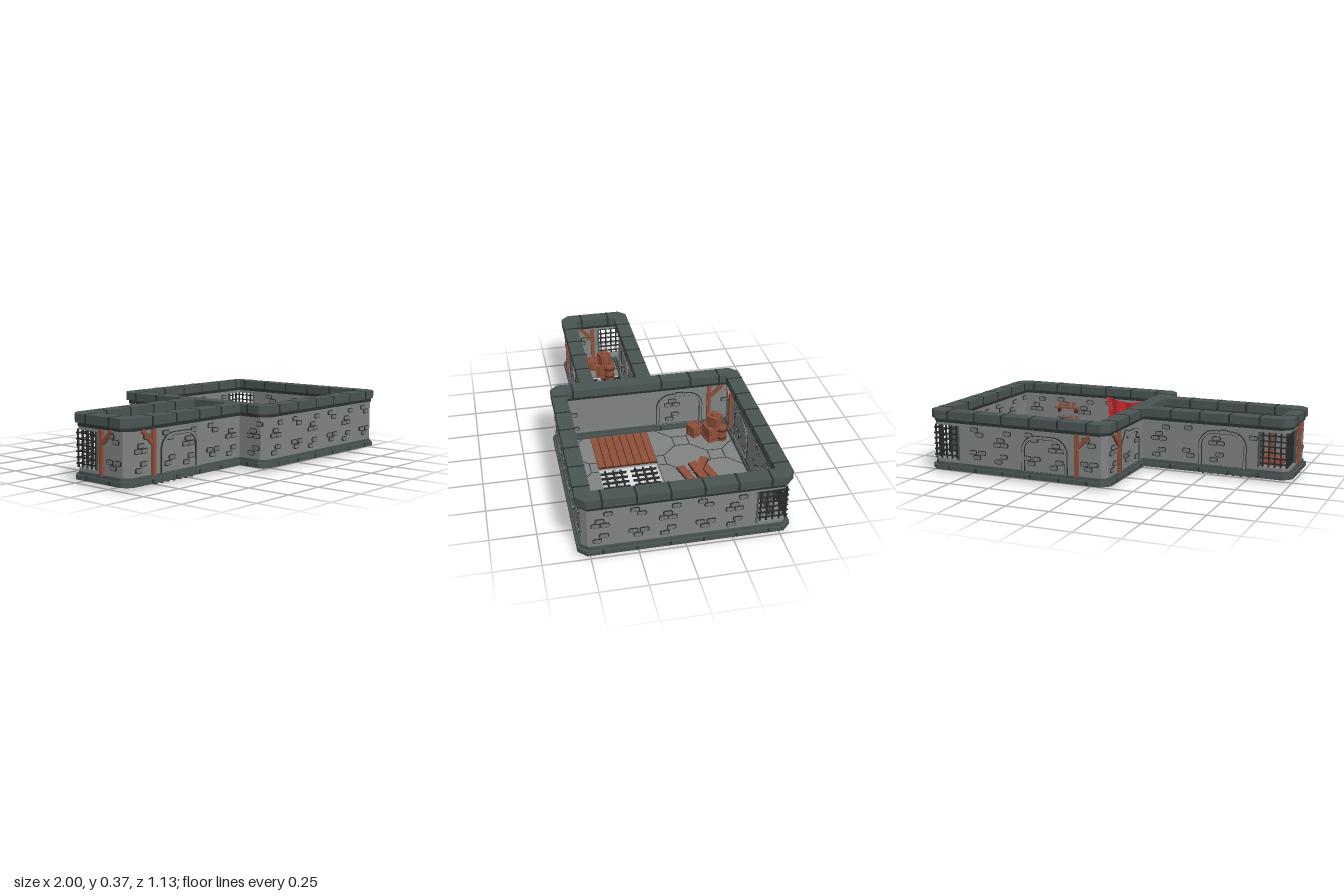
import * as THREE from 'three';
import { mergeGeometries } from 'three/addons/utils/BufferGeometryUtils.js';

const mat = (name, color, side = THREE.FrontSide) => {
  const m = new THREE.MeshStandardMaterial({ color, side });
  m.name = name;
  return m;
};

export function createModel() {
  const root = new THREE.Group();
  root.name = 'dungeonRooms';
  const M = {
    wall: mat('wallGrey', 0x818482), brick: mat('brickGrey', 0x757977), trim: mat('trimSlate', 0x4a5553),
    dark: mat('jointDark', 0x2b3231), iron: mat('iron', 0x2a2c2d), floor: mat('floorGrey', 0x818482),
    wood: mat('wood', 0x8f503a), darkWood: mat('darkWood', 0x4e2a1d), red: mat('clothRed', 0xc8262b, THREE.DoubleSide),
  };

  // Collect pieces by part name and colour, merged at the end
  const parts = new Map();
  const add = (name, color, geo, matrix) => {
    const g = geo.index ? geo.toNonIndexed() : geo;
    if (matrix) g.applyMatrix4(matrix);
    const key = name + '|' + color;
    if (!parts.has(key)) parts.set(key, []);
    parts.get(key).push(g);
  };
  const place = (x, y, z, ry = 0, rz = 0) => new THREE.Matrix4().makeRotationFromEuler(new THREE.Euler(0, ry, rz, 'YXZ')).setPosition(x, y, z);
  const box = (name, color, w, h, d, x, y, z, base, ry = 0, rz = 0) => {
    const m = place(x, y, z, ry, rz);
    add(name, color, new THREE.BoxGeometry(w, h, d), base ? base.clone().multiply(m) : m);
  };
  const slab = (name, color, pts, holes, y0, y1) => {
    const v = (a) => a.map(([x, z]) => new THREE.Vector2(x, -z));
    const s = new THREE.Shape(v(pts).reverse());
    for (const h of holes) s.holes.push(new THREE.Path(v(h)));
    const g = new THREE.ExtrudeGeometry(s, { depth: y1 - y0, bevelEnabled: false });
    add(name, color, g.rotateX(-Math.PI / 2).translate(0, y0, 0));
  };
  const rect = ([x0, x1, z0, z1], i = 0, c = 0) => {
    const [a, b, e, f] = [x0 + i, x1 - i, z0 + i, z1 - i];
    return c ? [[a + c, e], [b - c, e], [b, e + c], [b, f - c], [b - c, f], [a + c, f], [a, f - c], [a, e + c]]
      : [[a, e], [b, e], [b, f], [a, f]];
  };
  const frame = (name, color, r, inset, width, c, y0, y1) =>
    slab(name, color, rect(r, inset, c), [rect(r, width)], y0, y1);

  // Room shells: [x0, x1, z0, z1], with the window corner on the back
  const T = 0.05, CUT = 0.17;
  const rooms = [
    { r: [-0.13, 1, -0.563, 0.563], side: 1 },
    { r: [-1, -0.045, -0.04, 0.385], side: -1 },
  ];
  for (const { r, side } of rooms) {
    const c = 0.045;
    frame('baseTrim', 'trim', r, 0, 0.085, c, 0.02, 0.045);
    frame('baseTrim', 'trim', r, 0.012, 0.076, c, 0.045, 0.064);
    frame('capUnderside', 'dark', r, 0.01, 0.077, c, 0.298, 0.318);
    frame('capTrim', 'trim', r, 0, 0.085, c, 0.318, 0.365);
    frame('wall', 'wall', r, 0.02, 0.02 + T, 0.03, 0.06, 0.08);
    frame('wall', 'wall', r, 0.02, 0.02 + T, 0.03, 0.28, 0.3);
    // Middle of the wall, open around the window corner
    const a = side > 0 ? r[0] + 0.02 : r[1] - 0.02, b = side > 0 ? r[1] - 0.02 : r[0] + 0.02;
    const z0 = r[2] + 0.02, z1 = r[3] - 0.02, k = 0.03 * side, t = T * side, L = CUT * side;
    slab('wall', 'wall', [[b - L, z0], [a + k, z0], [a, z0 + 0.03], [a, z1 - 0.03], [a + k, z1], [b - k, z1], [b, z1 - 0.03],
      [b, z0 + CUT], [b - t, z0 + CUT], [b - t, z1 - T], [a + t, z1 - T], [a + t, z0 + T], [b - L, z0 + T]], [], 0.08, 0.28);
    // Iron lattice and jambs around the corner
    for (let i = 0; i < 5; i++) {
      const o = 0.012 + i * 0.034;
      box('windowBars', 'iron', 0.008, 0.2, 0.008, b - o * side, 0.18, z0 + 0.012);
      box('windowBars', 'iron', 0.008, 0.2, 0.008, b - 0.012 * side, 0.18, z0 + o);
    }
    for (let i = 0; i < 6; i++) {
      const y = 0.1 + i * 0.032;
      box('windowBars', 'iron', CUT, 0.007, 0.007, b - L / 2, y, z0 + 0.012);
      box('windowBars', 'iron', 0.007, 0.007, CUT, b - 0.012 * side, y, z0 + CUT / 2);
    }
    box('windowJamb', 'trim', 0.01, 0.2, T + 0.008, b - L, 0.18, z0 + T / 2);
    box('windowJamb', 'trim', T + 0.008, 0.2, 0.01, b - t / 2, 0.18, z0 + CUT);
    // Joints between trim blocks
    const joint = (w, d, x, z) => {
      box('trimJoints', 'dark', w, 0.048, d, x, 0.342, z);
      box('trimJoints', 'dark', w * 0.99, 0.024, d * 0.99, x, 0.033, z);
    };
    for (let x = side > 0 ? -0.005 : -0.815; x < r[1] - 0.06; x += 0.1745) {
      if (side < 0 && x > -0.15) break;
      for (const z of [r[2] + 0.0425, r[3] - 0.0425]) joint(0.011, 0.087, x, z);
    }
    for (let z = side > 0 ? -0.437 : 0.085; z < r[3] - 0.06; z += 0.1745) {
      joint(0.087, 0.011, side > 0 ? r[1] - 0.0425 : r[0] + 0.0425, z);
      if (side > 0 && (z < -0.05 || z > 0.39)) joint(0.087, 0.011, r[0] + 0.0425, z);
    }
  }

  // Raised bricks repeating every 0.35 along a wall
  const bricks = [[0.024, 0.262], [-0.02, 0.22], [-0.042, 0.193], [0.005, 0.193], [0, 0.127], [-0.035, 0.096],
    [0.16, 0.268], [0.195, 0.241], [0.15, 0.136], [0.208, 0.136], [0.175, 0.108]];
  const brickPlate = (w, h, c, depth) => new THREE.ExtrudeGeometry(
    new THREE.Shape(rect([-w, w, -h, h], 0, c).map(([x, y]) => new THREE.Vector2(x, y))), { depth, bevelEnabled: false });
  const brickEdge = brickPlate(0.0245, 0.0135, 0.006, 0.005), brickFace = brickPlate(0.02, 0.0095, 0.004, 0.008);
  const archShape = (w, h, r) => {
    const s = new THREE.Shape();
    s.moveTo(-w, 0.062).lineTo(w, 0.062).lineTo(w, h - r);
    s.absarc(w - r, h - r, r, 0, Math.PI / 2).lineTo(r - w, h);
    s.absarc(r - w, h - r, r, Math.PI / 2, Math.PI).lineTo(-w, 0.062);
    return s;
  };
  const face = (base, u0, u1, { beam, brace = 1, arch, gap = [9, 9] }) => {
    for (let s = u0 + 0.115; s < u1 + 0.05; s += 0.349) for (const [du, y] of bricks) {
      const u = s + du;
      if (u < u0 + 0.03 || u > u1 - 0.03 || (u > gap[0] - 0.03 && u < gap[1] + 0.03)) continue;
      if (arch !== undefined && Math.abs(Math.abs(u - arch) - 0.14) < 0.032) continue;
      if (beam !== undefined && Math.abs(u - beam) < 0.036) continue;
      const m = base.clone().multiply(place(u, y, 0));
      add('brickEdges', 'dark', brickEdge.clone(), m);
      add('bricks', 'brick', brickFace.clone(), m);
    }
    if (arch !== undefined) {
      for (const [w, t, d, col] of [[0.142, 0.02, 0.006, 'dark'], [0.138, 0.012, 0.01, 'wall']]) {
        const s = archShape(w, w + 0.126, 0.09);
        s.holes.push(archShape(w - t, w + 0.126 - t, 0.09 - t));
        const g = new THREE.ExtrudeGeometry(s, { depth: d, bevelEnabled: false, curveSegments: 8 });
        add('blockedArch', col, g, base.clone().multiply(place(arch, 0, 0)));
      }
    }
    if (beam !== undefined) {
      box('timberPost', 'wood', 0.022, 0.24, 0.026, beam, 0.18, 0.004, base);
      box('timberBrace', 'wood', 0.1, 0.02, 0.022, beam + brace * 0.044, 0.262, 0.004, base, 0, brace * 0.8);
    }
  };
  // Dresses both the outer and the inner side of a wall
  const wall = (x, z, ry, u0, u1, o = {}) => {
    const m = place(x, 0, z, ry);
    face(m, u0, u1, o);
    const back = m.clone().multiply(place(0, 0, -T, Math.PI));
    const n = (v) => (v === undefined ? undefined : -v);
    face(back, -u1 + 0.03, -u0 - 0.03, { beam: n(o.beam), brace: -(o.brace || 1), arch: n(o.arch), gap: o.gap ? [-o.gap[1], -o.gap[0]] : [9, 9] });
  };
  const P = Math.PI;
  wall(0, 0.543, 0, -0.11, 0.98);
  wall(0.98, 0, P / 2, -0.543, 0.543, { gap: [0.373, 0.545] });
  wall(0, -0.543, P, -0.98, 0.11, { beam: -0.06, arch: -0.26, gap: [-0.98, -0.81] });
  wall(-0.11, 0, -P / 2, -0.543, -0.03, { beam: -0.38, brace: -1, arch: -0.2 });
  wall(-0.11, 0, -P / 2, 0.37, 0.54);
  wall(0, 0.365, 0, -0.98, -0.12, { beam: -0.8, brace: -1, arch: -0.6 });
  wall(0, -0.02, P, 0.12, 0.98, { arch: 0.6, gap: [0.81, 0.98] });
  wall(-0.98, 0, -P / 2, -0.02, 0.365, { beam: 0.19, gap: [-0.02, 0.15] });

  // Floors with openings and inlaid joint lines
  const floors = [
    { r: [-0.09, 0.96, -0.525, 0.525], hole: [-0.08, 0.607, 0, 0.345] },
    { r: [-0.96, -0.09, 0, 0.345], hole: [-0.77, -0.44, 0.02, 0.325] },
  ];
  for (const { r, hole } of floors) {
    slab('floor', 'floor', rect(r), [rect(hole)], 0.011, 0.024);
    const inside = (x, z, q, e) => x > q[0] - e && x < q[1] + e && z > q[2] - e && z < q[3] + e;
    // Lines are laid in short pieces so they stop at the openings
    const line = (x0, z0, x1, z1) => {
      const dx = (x1 - x0) / 4, dz = (z1 - z0) / 4;
      for (let i = 0; i < 4; i++) {
        const x = x0 + dx * (i + 0.5), z = z0 + dz * (i + 0.5);
        if (inside(x, z, r, -0.01) && !inside(x, z, hole, 0.012))
          box('floorJoints', 'dark', Math.hypot(dx, dz), 0.0015, 0.0045, x, 0.0243, z, null, Math.atan2(-dz, dx));
      }
    };
    for (let i = -6; i < 7; i++) for (let j = -4; j < 5; j++) {
      if ((i + j) % 2) continue;
      const x = 0.0825 + i * 0.1745, z = -0.003 + j * 0.1745, a = 0.13, b = 0.0445;
      const p = [[a, -b], [a, b], [b, a], [-b, a], [-a, b], [-a, -b], [-b, -a], [b, -a]];
      p.forEach(([px, pz], k) => {
        const [qx, qz] = p[(k + 1) % 8];
        if (k !== 3 && k !== 5) line(x + px, z + pz, x + qx, z + qz);
      });
    }
  }

  // Iron floor grates, two panels each
  for (const x0 of [-0.77, 0.28]) for (const z0 of [0.015, 0.19]) {
    for (let i = 0; i < 7; i++) box('floorGrate', 'iron', 0.011, 0.01, 0.15, x0 + 0.025 + i * 0.045, 0.006, z0 + 0.075);
    for (let i = 0; i < 3; i++) box('floorGrate', 'iron', 0.32, 0.01, 0.011, x0 + 0.16, 0.005, z0 + 0.03 + i * 0.045);
  }

  // Plank floor beside the grate
  box('plankFloorBase', 'darkWood', 0.345, 0.009, 0.345, 0.0875, 0.0165, 0.1725);
  for (let i = 0; i < 8; i++) {
    const cuts = i % 2 ? [-0.085, 0.1, 0.26] : [-0.085, 0.02, 0.18, 0.26];
    for (let k = 0; k + 1 < cuts.length; k++)
      box('plankFloor', 'wood', cuts[k + 1] - cuts[k] - 0.005, 0.016, 0.038, (cuts[k] + cuts[k + 1]) / 2, 0.018, 0.0216 + i * 0.0431);
  }

  // Loose planks: [x, y, z, length, turn]
  [[0.565, 0.034, -0.295, 0.22, 0.22], [0.41, 0.034, -0.26, 0.16, 0.23], [0.6, 0.036, -0.245, 0.2, 0.25], [0.44, 0.04, -0.205, 0.2, 0.2],
    [0.62, 0.034, -0.19, 0.2, 0.26], [0.44, 0.034, -0.135, 0.18, 0.24], [0.55, 0.05, -0.225, 0.3, 0.23], [0.39, 0.056, -0.225, 0.15, -0.5],
  ].forEach(([x, y, z, l, ry], i) => {
    const tilt = (i % 3 - 1) * 0.04;
    box('loosePlanks', 'wood', l, 0.014, 0.045, x, y, z, null, ry, tilt);
    box('loosePlankEdges', 'darkWood', l + 0.004, 0.008, 0.05, x, y - 0.004, z, null, ry, tilt);
  });

  // Piles of crates, a barrel and pots
  const crate = (m, s, x, y, z, ry) => {
    const c = m.clone().multiply(place(x, y + s / 2, z, ry));
    box('crateCore', 'darkWood', s * 0.92, s * 0.92, s * 0.92, 0, 0, 0, c);
    for (const a of [-1, 1]) for (const b of [-1, 1]) {
      box('crateFrame', 'wood', s * 0.16, s, s * 0.16, a * s * 0.42, 0, b * s * 0.42, c);
      box('crateFrame', 'wood', s, s * 0.16, s * 0.16, 0, a * s * 0.42, b * s * 0.42, c);
      box('crateFrame', 'wood', s * 0.16, s * 0.16, s, a * s * 0.42, b * s * 0.42, 0, c);
    }
    box('cratePanels', 'wood', s * 0.6, s * 0.6, s * 0.95, 0, 0, 0, c);
    box('cratePanels', 'wood', s * 0.95, s * 0.6, s * 0.6, 0, 0, 0, c);
    box('cratePanels', 'wood', s * 0.6, s * 0.95, s * 0.6, 0, 0, 0, c);
  };
  const pile = (x, z, ry) => {
    const m = place(x, 0.024, z, ry);
    crate(m, 0.09, 0.015, 0, 0.005, 0.25);
    crate(m, 0.07, 0.015, 0.09, -0.005, 0.75);
    crate(m, 0.07, -0.045, 0, 0.1, 0.5);
    add('barrel', 'wood', new THREE.CylinderGeometry(0.032, 0.032, 0.09, 10), m.clone().multiply(place(0.035, 0.045, -0.045)));
    for (const y of [0.02, 0.07])
      add('barrelHoops', 'darkWood', new THREE.CylinderGeometry(0.034, 0.034, 0.01, 10), m.clone().multiply(place(0.035, y, -0.045)));
    add('pots', 'wood', new THREE.CylinderGeometry(0.02, 0.022, 0.014, 8), m.clone().multiply(place(0.015, 0.167, -0.005)));
    for (const [a, b] of [[-0.07, 0.02], [-0.055, -0.03], [-0.035, 0.045]]) {
      add('pots', 'wood', new THREE.SphereGeometry(0.026, 8, 6), m.clone().multiply(place(a, 0.026, b)));
      add('potNecks', 'wood', new THREE.CylinderGeometry(0.014, 0.011, 0.014, 8), m.clone().multiply(place(a, 0.055, b)));
    }
  };
  pile(0.075, -0.375, 0);
  pile(-0.785, 0.135, -0.5);

  // Wall shelves with pots
  for (const [x, y] of [[0.6, 0.13], [0.62, 0.22]]) {
    box('shelf', 'wood', 0.16, 0.01, 0.04, x, y, 0.475);
    for (const s of [-0.06, 0.06]) box('shelfBracket', 'darkWood', 0.012, 0.03, 0.03, x + s, y - 0.018, 0.48);
    for (const s of [-0.05, -0.01, 0.045])
      add('shelfPots', 'wood', new THREE.CylinderGeometry(0.01, 0.014, 0.035, 8), place(x + s, y + 0.022, 0.475));
  }

  // Hanging cloth with folds, a sagging top and a ragged hem
  const cloth = new THREE.PlaneGeometry(0.31, 0.2, 24, 6);
  const p = cloth.attributes.position;
  for (let i = 0; i < p.count; i++) {
    const x = p.getX(i), y = p.getY(i), low = (0.1 - y) / 0.2;
    p.setXYZ(i, x * (1 - 0.1 * Math.sin(low * P)), y + low * 0.018 * Math.sin(x * 45) - 0.014 * Math.cos(x * 20) * (1 - low), 0.007 * Math.sin(x * 60));
  }
  cloth.computeVertexNormals();
  add('hangingCloth', 'red', cloth, place(0.185, 0.195, 0.479, P));

  for (const [key, list] of parts) {
    const [name, color] = key.split('|');
    const mesh = new THREE.Mesh(mergeGeometries(list), M[color]);
    mesh.name = name;
    root.add(mesh);
  }
  return root;
}
